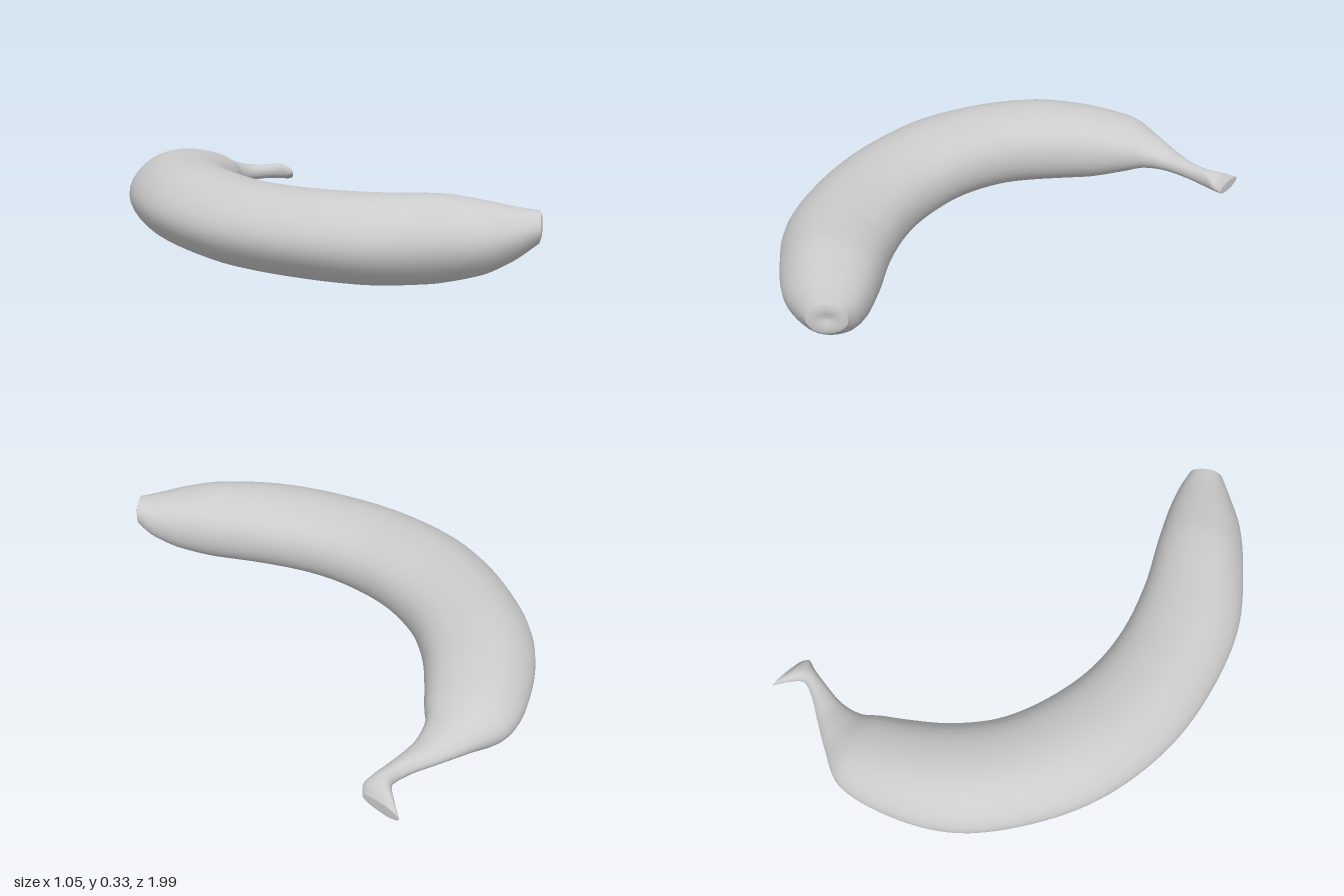
import * as THREE from 'three';

// Cross-sections from blossom tip to stem:
// [outer x, outer z, inner x, inner z, bottom y, top y]
const SECTIONS = [
  [0.40, 0.99, 0.485, 0.885, 0.165, 0.275],
  [0.30, 0.975, 0.46, 0.83, 0.11, 0.285],
  [0.19, 0.95, 0.40, 0.745, 0.06, 0.305],
  [0.02, 0.865, 0.30, 0.635, 0.023, 0.327],
  [-0.18, 0.725, 0.155, 0.49, 0.01, 0.322],
  [-0.36, 0.49, 0.02, 0.31, 0.01, 0.318],
  [-0.48, 0.23, -0.06, 0.13, 0.012, 0.32],
  [-0.53, -0.07, -0.095, -0.08, 0.018, 0.33],
  [-0.495, -0.35, -0.08, -0.28, 0.012, 0.33],
  [-0.39, -0.62, -0.01, -0.45, 0.002, 0.323],
  [-0.22, -0.81, 0.07, -0.57, 0.01, 0.30],
  [-0.02, -0.93, 0.145, -0.67, 0.05, 0.26],
  [0.13, -0.92, 0.19, -0.735, 0.085, 0.215],
  [0.25, -0.90, 0.27, -0.785, 0.1, 0.18],
  [0.36, -0.88, 0.38, -0.812, 0.102, 0.167],
  [0.43, -0.885, 0.46, -0.825, 0.095, 0.165],
  [0.465, -0.945, 0.505, -0.828, 0.088, 0.15],
  [0.485, -0.998, 0.522, -0.85, 0.078, 0.122],
];
const RINGS = 110, SIDES = 40;

const curve = (pick) => new THREE.CatmullRomCurve3(SECTIONS.map((s) => new THREE.Vector3(...pick(s))));
const outerCurve = curve((s) => [s[0], 0, s[1]]);
const innerCurve = curve((s) => [s[2], 0, s[3]]);
const heightCurve = curve((s) => [s[4], s[5], 0]);

// One closed oval ring, with the faint five-sided swell of the fruit
function ring(t, scale = 1) {
  const outer = outerCurve.getPoint(t), inner = innerCurve.getPoint(t), h = heightCurve.getPoint(t);
  const centre = outer.clone().add(inner).multiplyScalar(0.5).setY((h.x + h.y) / 2);
  const side = outer.clone().sub(inner).multiplyScalar(0.5);
  const points = [];
  for (let j = 0; j < SIDES; j++) {
    const a = (j / SIDES) * Math.PI * 2;
    const r = scale * (1 + 0.012 * Math.cos(5 * a));
    const p = centre.clone().addScaledVector(side, Math.cos(a) * r);
    p.y += ((h.y - h.x) / 2) * Math.sin(a) * r;
    points.push(p);
  }
  return points;
}

// Skin a list of rings with shared vertices, so the surface is smooth
function loft(name, rings, material) {
  const index = [];
  for (let i = 0; i < rings.length - 1; i++) {
    for (let j = 0; j < SIDES; j++) {
      const k = (j + 1) % SIDES;
      const a = i * SIDES + j, b = i * SIDES + k, c = a + SIDES, d = b + SIDES;
      index.push(a, b, c, b, d, c);
    }
  }
  const geometry = new THREE.BufferGeometry().setFromPoints(rings.flat());
  geometry.setIndex(index);
  geometry.computeVertexNormals();
  const mesh = new THREE.Mesh(geometry, material);
  mesh.name = name;
  return mesh;
}

// End cap: concentric rings pushed along the axis by a depth per ring
function capRings(t, depths) {
  const axis = outerCurve.getTangent(t).add(innerCurve.getTangent(t)).setY(0).normalize();
  return depths.map(([scale, depth]) => ring(t, scale).map((p) => p.addScaledVector(axis, depth)));
}

export function createModel() {
  const group = new THREE.Group();
  group.name = 'banana';
  const material = new THREE.MeshStandardMaterial({ color: 0xcccccc });

  // Curved body running into the stem
  const body = Array.from({ length: RINGS + 1 }, (_, i) => ring(i / RINGS));
  group.add(loft('peel', body, material));

  // Blunt blossom end with a shallow dimple
  const tip = capRings(0, [[0.001, 0.004], [0.35, 0], [0.7, -0.006], [1, 0]]);
  group.add(loft('blossomTip', tip, material));

  // Cut face at the end of the stem
  const cut = capRings(1, [[1, 0], [0.6, 0.002], [0.001, 0]]);
  group.add(loft('stemCut', cut, material));

  return group;
}
